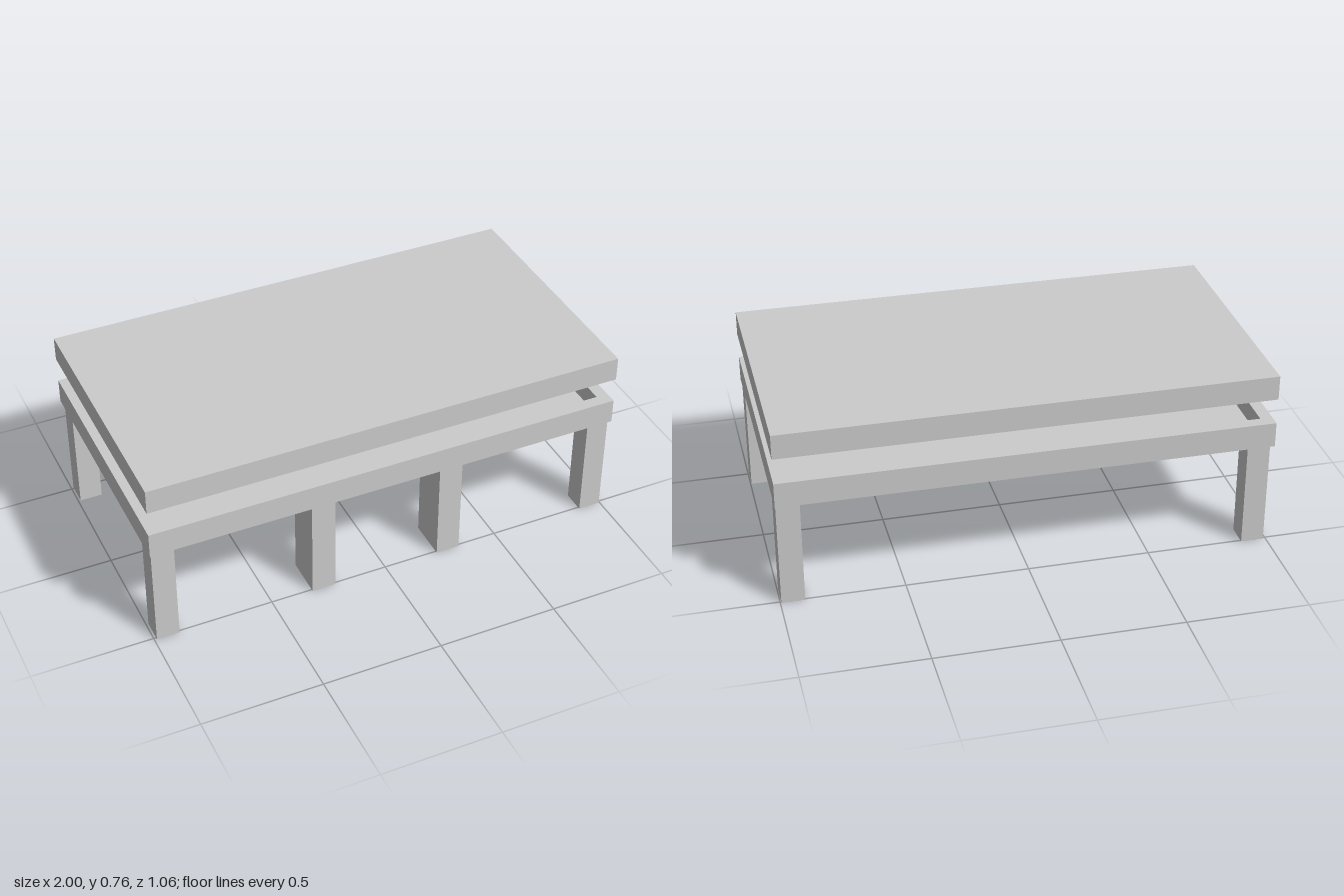
import * as THREE from 'three';

const material = new THREE.MeshStandardMaterial({
  color: 0xcccccc, flatShading: true, side: THREE.DoubleSide,
});

// Skin a stack of rectangular rings [halfWidth, halfDepth, y], listed so that
// outer walls run upwards; a ring of size zero closes an end.
function ringShell(rings) {
  const corners = [[-1, 1], [1, 1], [1, -1], [-1, -1]];
  const at = ([w, d, y], c) => [corners[c % 4][0] * w, y, corners[c % 4][1] * d];
  const positions = [];
  for (let r = 0; r < rings.length - 1; r++) {
    const [lower, upper] = [rings[r], rings[r + 1]];
    for (let c = 0; c < 4; c++) {
      const a = at(lower, c), b = at(lower, c + 1);
      const e = at(upper, c + 1), f = at(upper, c);
      if (lower[0] > 0) positions.push(...a, ...b, ...e);
      if (upper[0] > 0) positions.push(...a, ...e, ...f);
    }
  }
  const geometry = new THREE.BufferGeometry();
  geometry.setAttribute('position', new THREE.Float32BufferAttribute(positions, 3));
  geometry.computeVertexNormals();
  return geometry;
}

export function createModel() {
  const model = new THREE.Group();
  model.name = 'table';

  const add = (name, geometry, x = 0, y = 0, z = 0) => {
    const mesh = new THREE.Mesh(geometry, material);
    mesh.name = name;
    mesh.position.set(x, y, z);
    model.add(mesh);
  };

  const W = 1, D = 0.532, wall = 0.05, height = 0.105, depth = 0.08;
  const legHeight = 0.45;

  // Shallow tray, open at the top
  add('tray', ringShell([
    [0, 0, 0], [W, D, 0], [W, D, height],
    [W - wall, D - wall, height], [W - wall, D - wall, height - depth],
    [0, 0, height - depth],
  ]), 0, legHeight);

  // Raised hollow lid, open underneath
  add('lid', ringShell([
    [0, 0, depth], [W - wall, D - wall, depth], [W - wall, D - wall, 0],
    [W, D, 0], [W, D, height - 0.003], [0, 0, height - 0.003],
  ]), 0, 0.662);

  // Hollow legs, open at the foot
  const leg = (name, x, z, width, legDepth) => add(name, ringShell([
    [width / 2, legDepth / 2, 0], [width / 2, legDepth / 2, legHeight],
  ]), x, 0, z);

  for (const [side, x] of [['Left', 0.949], ['Right', -0.943]]) {
    leg(`front${side}Leg`, x, 0.462, 0.094, 0.095);
    leg(`back${side}Leg`, x, -0.46, 0.094, 0.095);
  }
  // Deeper middle legs along the front only
  leg('middleLeftLeg', 0.28, 0.424, 0.1, 0.17);
  leg('middleRightLeg', -0.276, 0.424, 0.1, 0.17);

  return model;
}
